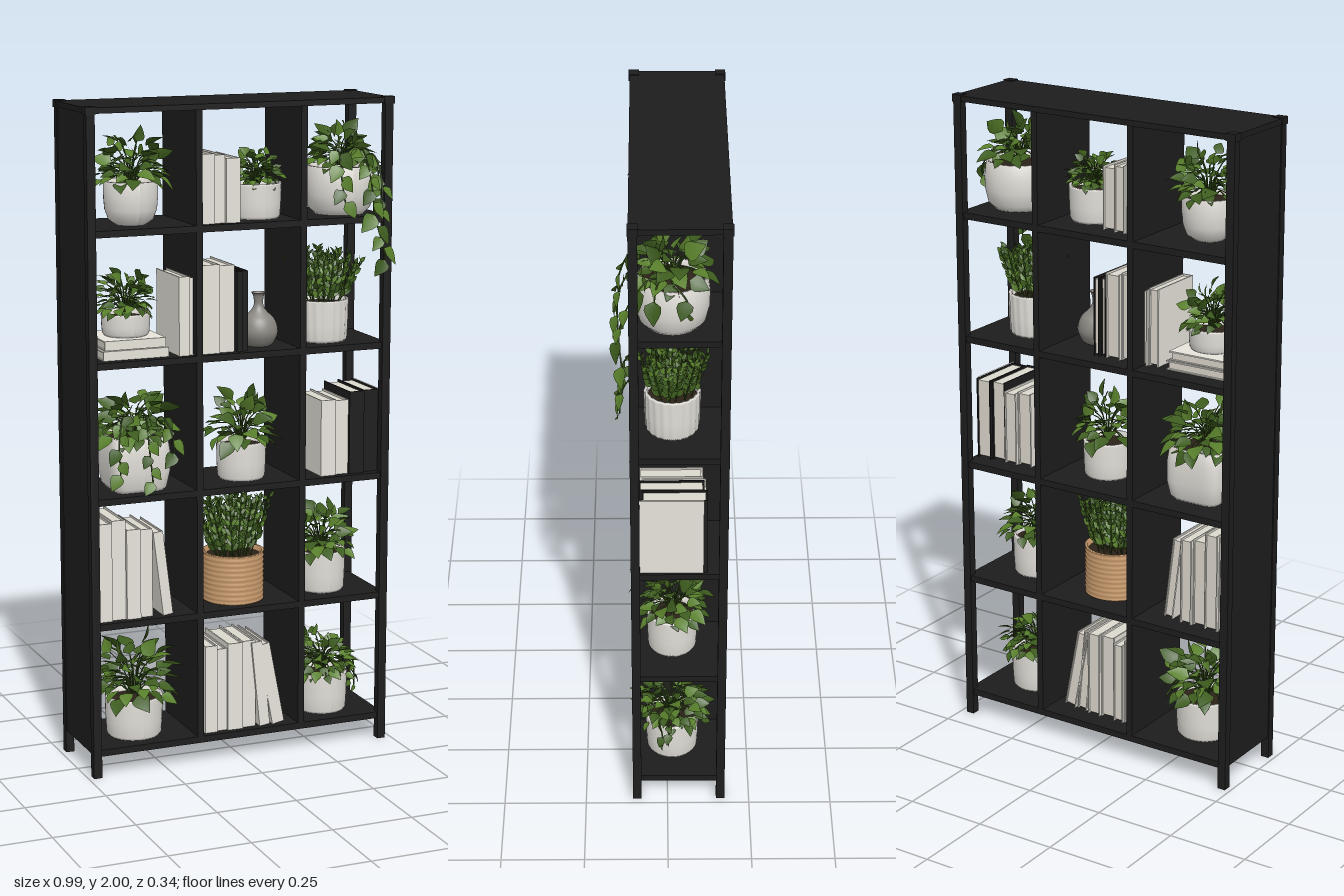
import * as THREE from 'three';
import { mergeGeometries } from 'three/addons/utils/BufferGeometryUtils.js';

const V = (x, y, z) => new THREE.Vector3(x, y, z);

export function createModel() {
  const root = new THREE.Group();
  root.name = 'plantShelf';
  const mat = (name, color, side = THREE.FrontSide) => {
    const m = new THREE.MeshStandardMaterial({ color, side });
    m.name = name;
    return m;
  };
  const black = mat('blackMetal', 0x1d1d1d);
  const ceramic = mat('whiteCeramic', 0xe2dfd9, THREE.DoubleSide);
  const cream = mat('creamCover', 0xe9e6dd);
  const paper = mat('paper', 0xdcd8cd);
  const stone = mat('greyVase', 0x8a8781, THREE.DoubleSide);
  const wicker = mat('wicker', 0xc89a6c, THREE.DoubleSide);
  const soil = mat('soil', 0x2b2218);
  const leafDark = mat('darkLeaf', 0x3d5c1e, THREE.DoubleSide);
  const leafLight = mat('lightLeaf', 0x587f2b, THREE.DoubleSide);

  let seed = 7;
  const rnd = () => (seed = (seed * 16807) % 2147483647) / 2147483647;
  const add = (parent, name, geo, m) => {
    const mesh = new THREE.Mesh(geo, m);
    mesh.name = name;
    parent.add(mesh);
    return mesh;
  };
  // box given by its limits
  const box = (parent, name, m, x0, x1, y0, y1, z0, z1) =>
    add(parent, name, new THREE.BoxGeometry(x1 - x0, y1 - y0, z1 - z0)
      .translate((x0 + x1) / 2, (y0 + y1) / 2, (z0 + z1) / 2), m);
  const group = (name, x = 0, y = 0, z = 0) => {
    const g = new THREE.Group();
    g.name = name;
    g.position.set(x, y, z);
    root.add(g);
    return g;
  };

  // Frame: posts with caps, shelves, dividers and one closed side
  const frame = group('frame');
  for (const x of [-0.485, 0.455])
    for (const z of [-0.175, 0.08]) {
      box(frame, 'post', black, x, x + 0.026, 0, 1.99, z, z + 0.026);
      box(frame, 'postCap', black, x - 0.003, x + 0.029, 1.978, 2, z - 0.002, z + 0.028);
    }
  const floors = [0.085, 0.475, 0.855, 1.26, 1.645];
  for (const y of floors) box(frame, 'shelf', black, -0.475, 0.472, y - 0.02, y, -0.17, 0.1);
  box(frame, 'topPanel', black, -0.484, 0.48, 1.98, 1.997, -0.174, 0.105);
  for (const x of [-0.148, 0.185]) box(frame, 'divider', black, x, x + 0.02, 0.07, 1.99, -0.17, 0.1);
  box(frame, 'closedSide', black, -0.482, -0.465, 0.07, 1.99, -0.165, 0.095);

  // Books: two covers, a spine at the front and a recessed page block
  function book(x, y, w, h, { lean = 0, cover = cream, front = 0.08, depth = 0.185 } = {}) {
    const g = group('book', x, y, front), t = 0.004;
    box(g, 'leftCover', cover, 0, t, 0, h, -depth, 0);
    box(g, 'rightCover', cover, w - t, w - 0.001, 0, h, -depth, 0);
    box(g, 'spine', cover, t, w - t, 0, h, -t, 0);
    box(g, 'pages', paper, t, w - t, 0.005, h - 0.006, -depth + 0.006, -t);
    g.rotation.z = lean;
    return g;
  }
  function bookRow(x, y, sizes, opts) {
    sizes.forEach(([w, h], i) => {
      book(x, y, w, h, { front: 0.08 - (i % 2) * 0.008, ...opts });
      x += w;
    });
  }
  bookRow(-0.125, 1.645, [[0.045, 0.205], [0.035, 0.2], [0.045, 0.19]]);
  bookRow(-0.195, 1.26, [[0.035, 0.235], [0.035, 0.23], [0.06, 0.265], [0.05, 0.26]]);
  bookRow(-0.01, 1.26, [[0.018, 0.24], [0.02, 0.24]], { cover: black });
  bookRow(0.265, 0.855, [[0.05, 0.235], [0.045, 0.23]]);
  bookRow(0.36, 0.855, [[0.05, 0.255], [0.052, 0.255]], { cover: black, depth: 0.188 });
  box(root, 'paleCover', cream, 0.461, 0.466, 0.857, 1.11, -0.105, 0.082);
  bookRow(-0.455, 0.475, [[0.045, 0.3], [0.045, 0.305], [0.045, 0.275], [0.04, 0.27]]);
  book(-0.25, 0.475, 0.032, 0.26, { lean: 0.12 });
  bookRow(-0.115, 0.085, [[0.04, 0.275], [0.035, 0.26], [0.05, 0.275], [0.045, 0.275]]);
  book(0.065, 0.085, 0.035, 0.27, { lean: 0.1 });
  book(0.108, 0.085, 0.04, 0.262, { lean: 0.19 });
  // Lying books
  [[-0.43, 0.205, 1.26], [-0.425, 0.19, 1.29]].forEach(([x, h, y]) => {
    const b = book(x, y + 0.029, 0.029, h, { front: 0.075 });
    b.rotation.z = -Math.PI / 2;
  });

  // Pots: hollow turned profiles; 'square' pulls the circle towards a rounded square
  function pot(name, x, y, profile, m, { square = false, flutes = 0 } = {}) {
    const g = group(name, x, y, -0.015);
    const [rt, h] = profile[profile.length - 1];
    const pts = [[0.001, 0], ...profile, [rt - 0.008, h], [rt - 0.01, h - 0.02]];
    const shape = (geo) => {
      const p = geo.attributes.position;
      for (let i = 0; i < p.count; i++) {
        const a = Math.atan2(p.getZ(i), p.getX(i));
        let k = 1 + (flutes ? 0.02 * Math.cos(a * flutes) : 0);
        if (square) k /= (Math.abs(Math.cos(a)) ** 6 + Math.abs(Math.sin(a)) ** 6) ** (1 / 6);
        p.setX(i, p.getX(i) * k);
        p.setZ(i, p.getZ(i) * k);
      }
      geo.computeVertexNormals();
      return geo;
    };
    add(g, 'potBody', shape(new THREE.LatheGeometry(pts.map((q) => new THREE.Vector2(...q)), flutes ? 80 : 40)), m);
    add(g, 'soil', shape(new THREE.CylinderGeometry(rt - 0.01, rt - 0.01, 0.004, 32).translate(0, h - 0.018, 0)), soil);
    return g;
  }
  const straight = (r, h) => [[r * 0.88, 0], [r * 0.95, 0.008], [r * 0.98, h * 0.4], [r, h - 0.005], [r * 0.99, h]];

  // One cupped, drooping leaf growing along +y
  function leafShape(width, tip) {
    const geo = new THREE.PlaneGeometry(1, 1, 2, 5), p = geo.attributes.position;
    for (let i = 0; i < p.count; i++) {
      const t = p.getY(i) + 0.5, s = p.getX(i) * 2;
      const w = width * 0.5 * Math.sin(Math.PI * t ** tip);
      p.setXYZ(i, s * w, t, Math.abs(s) * w * 0.25 - 0.18 * t * t);
    }
    geo.computeVertexNormals();
    return geo;
  }
  const broad = leafShape(0.78, 0.62), slim = leafShape(0.5, 0.75);
  function placeLeaf(list, shape, pos, dir, face, size) {
    const y = dir.clone().normalize();
    const x = y.clone().cross(face).normalize();
    const m = new THREE.Matrix4().makeBasis(x, y, x.clone().cross(y)).scale(V(size, size, size)).setPosition(pos);
    list.push(shape.clone().applyMatrix4(m));
  }
  const stem = (pts) => new THREE.TubeGeometry(new THREE.CatmullRomCurve3(pts), 6, 0.002, 4);
  function finish(g, dark, light) {
    add(g, 'darkFoliage', mergeGeometries(dark), leafDark);
    add(g, 'lightFoliage', mergeGeometries(light), leafLight);
  }

  // Dome of leaves on arching stems
  function bush(g, y, { n, rx, rz = rx, h, size, droop = 0.15 }) {
    const dark = [], light = [];
    for (let i = 0; i < n; i++) {
      const a = i * 2.4, el = Math.asin((i + 0.5) / n) - droop, k = 0.55 + 0.45 * rnd();
      const p = V(Math.cos(a) * Math.cos(el) * rx * k, y + Math.sin(el) * h * k, Math.sin(a) * Math.cos(el) * rz * k);
      const out = V(Math.cos(a), 0, Math.sin(a));
      const dir = out.clone().multiplyScalar(0.8).add(V(rnd() - 0.5, Math.sin(el) * 1.1 - 0.25, rnd() - 0.5));
      const face = out.multiplyScalar(0.75).add(V((rnd() - 0.5) * 0.6, 0.8, (rnd() - 0.5) * 0.6));
      placeLeaf(i % 5 < 3 ? dark : light, broad, p, dir, face, size * (0.75 + 0.5 * rnd()));
      if (i % 2 === 0) dark.push(stem([V(p.x * 0.15, y - 0.02, p.z * 0.15), V(p.x * 0.5, (y + p.y) / 2 + 0.012, p.z * 0.5), p]));
    }
    finish(g, dark, light);
  }

  // Upright sprigs with paired pointed leaves
  function sprigs(g, y, { n, spread, h }) {
    const dark = [], light = [];
    for (let i = 0; i < n; i++) {
      const a = i * 2.4, r = Math.sqrt((i + 0.5) / n), c = V(Math.cos(a), 0, Math.sin(a));
      const len = h * (1.02 - 0.3 * r * rnd());
      const base = c.clone().multiplyScalar(0.055 * r).setY(y - 0.02);
      const top = V(c.x * spread * r, y + len, c.z * 0.1 * r);
      dark.push(stem([base, base.clone().lerp(top, 0.5), top]));
      const up = top.clone().sub(base).normalize();
      for (let j = 1; j <= 9; j++) {
        const pos = base.clone().lerp(top, 0.1 + j * 0.098);
        for (const s of [-1, 1]) {
          const b = j * 1.3 + i, side = V(Math.cos(b) * s, 0, Math.sin(b) * s);
          placeLeaf((i + j) % 3 ? dark : light, slim, pos, side.clone().multiplyScalar(0.7).add(up),
            up.clone().multiplyScalar(0.7).add(c).sub(side.multiplyScalar(0.3)), 0.04 - j * 0.0016);
        }
      }
    }
    finish(g, dark, light);
  }

  // Trailing vines with hanging heart-shaped leaves
  function vines(g, paths, size) {
    const dark = [], light = [];
    paths.forEach((path) => {
      const curve = new THREE.CatmullRomCurve3(path.map((q) => V(...q)));
      dark.push(new THREE.TubeGeometry(curve, 20, 0.0025, 5));
      const n = Math.round(curve.getLength() / 0.038);
      for (let i = 2; i <= n; i++) {
        const s = i % 2 ? 1 : -1, p = curve.getPointAt(i / n);
        const out = V(p.x, 0, p.z).normalize();
        placeLeaf(i % 3 ? light : dark, broad, p, V(s * (0.4 + 0.4 * rnd()), -0.8, 0.1 + 0.3 * rnd()),
          out.add(V(s * 0.25, 0.6, 0.2)), size * (0.8 + 0.4 * rnd()));
      }
    });
    finish(g, dark, light);
  }

  // Top row
  let g = pot('roundedPotPlant', -0.308, 1.645, [[0.045, 0], [0.066, 0.015], [0.077, 0.045], [0.08, 0.08], [0.08, 0.128]], ceramic);
  bush(g, 0.14, { n: 62, rx: 0.088, h: 0.115, size: 0.052 });
  g = pot('smallPotPlant', 0.088, 1.645, straight(0.077, 0.105), ceramic);
  bush(g, 0.115, { n: 95, rx: 0.066, h: 0.08, size: 0.034 });
  g = pot('vinePot', 0.362, 1.645, [[0.075, 0], [0.094, 0.02], [0.103, 0.06], [0.104, 0.1], [0.098, 0.145]], ceramic);
  bush(g, 0.165, { n: 46, rx: 0.07, rz: 0.085, h: 0.085, size: 0.058 });
  vines(g, [
    [[0.02, 0.15, 0.03], [0.03, 0.2, 0.09], [0.035, 0.12, 0.145], [0.05, 0, 0.15], [0.085, -0.1, 0.14], [0.09, -0.13, 0.135]],
    [[-0.03, 0.15, 0.03], [-0.05, 0.2, 0.1], [-0.06, 0.12, 0.145], [-0.05, 0.05, 0.15]],
    [[0.05, 0.15, 0.02], [0.08, 0.18, 0.06], [0.085, 0.1, 0.12], [0.07, 0.02, 0.145]],
    [[0.04, 0.15, 0], [0.085, 0.17, 0], [0.105, 0.12, -0.04], [0.106, 0.09, -0.04]],
    [[0.04, 0.15, 0.02], [0.085, 0.17, 0.04], [0.105, 0.13, 0.05], [0.106, 0.09, 0.05]],
  ], 0.058);

  // Second row
  g = pot('stackedPotPlant', -0.327, 1.319, straight(0.073, 0.068), ceramic);
  bush(g, 0.085, { n: 76, rx: 0.075, h: 0.1, size: 0.04 });
  const vase = [[0.001, 0], [0.035, 0], [0.054, 0.025], [0.058, 0.05], [0.048, 0.08], [0.024, 0.105], [0.014, 0.125], [0.016, 0.15], [0.022, 0.16], [0.017, 0.158], [0.01, 0.13]];
  add(group('vase', 0.092, 1.26, 0.0), 'vaseBody',
    new THREE.LatheGeometry(new THREE.SplineCurve(vase.map((q) => new THREE.Vector2(...q))).getPoints(44), 36), stone);
  g = pot('flutedPotPlant', 0.308, 1.26, straight(0.08, 0.128), ceramic, { flutes: 20 });
  sprigs(g, 0.13, { n: 24, spread: 0.13, h: 0.135 });

  // Third row
  g = pot('squarePotPlant', -0.305, 0.855, [[0.074, 0], [0.084, 0.012], [0.093, 0.06], [0.093, 0.12], [0.087, 0.165]], ceramic, { square: true });
  bush(g, 0.185, { n: 78, rx: 0.095, rz: 0.11, h: 0.1, size: 0.058, droop: 0.3 });
  vines(g, [
    [[-0.03, 0.16, 0.03], [-0.07, 0.24, 0.1], [-0.1, 0.17, 0.15], [-0.1, 0.08, 0.16]],
    [[0, 0.16, 0.03], [0, 0.24, 0.1], [-0.01, 0.16, 0.155], [0, 0.05, 0.16]],
    [[0.03, 0.16, 0.03], [0.05, 0.23, 0.1], [0.065, 0.19, 0.145], [0.07, 0.13, 0.155]],
  ], 0.05);
  g = pot('middlePotPlant', 0.042, 0.855, straight(0.076, 0.115), ceramic);
  bush(g, 0.135, { n: 56, rx: 0.085, h: 0.13, size: 0.052 });

  // Fourth row, with a ribbed basket
  const ribs = [[0.088, 0]];
  for (let i = 0; i <= 40; i++) ribs.push([0.094 + 0.001 * Math.cos((i * Math.PI) / 2), 0.004 + (i / 40) * 0.15]);
  g = pot('basketPlant', 0.015, 0.475, ribs, wicker);
  sprigs(g, 0.15, { n: 34, spread: 0.125, h: 0.17 });
  g = pot('leafyPotPlant', 0.31, 0.475, straight(0.076, 0.128), ceramic);
  bush(g, 0.145, { n: 68, rx: 0.085, rz: 0.09, h: 0.125, size: 0.05 });

  // Bottom row
  g = pot('largePotPlant', -0.312, 0.085, straight(0.088, 0.125), ceramic);
  bush(g, 0.15, { n: 72, rx: 0.1, rz: 0.11, h: 0.145, size: 0.06 });
  g = pot('spillingPotPlant', 0.315, 0.085, straight(0.081, 0.125), ceramic);
  bush(g, 0.15, { n: 105, rx: 0.092, rz: 0.1, h: 0.105, size: 0.04, droop: 0.3 });
  vines(g, [
    [[0.05, 0.13, 0.02], [0.085, 0.16, 0.04], [0.1, 0.11, 0.03], [0.1, 0.07, 0.03]],
    [[0.04, 0.13, 0], [0.085, 0.16, 0.01], [0.095, 0.12, 0.01], [0.095, 0.08, 0.01]],
  ], 0.032);
  return root;
}
